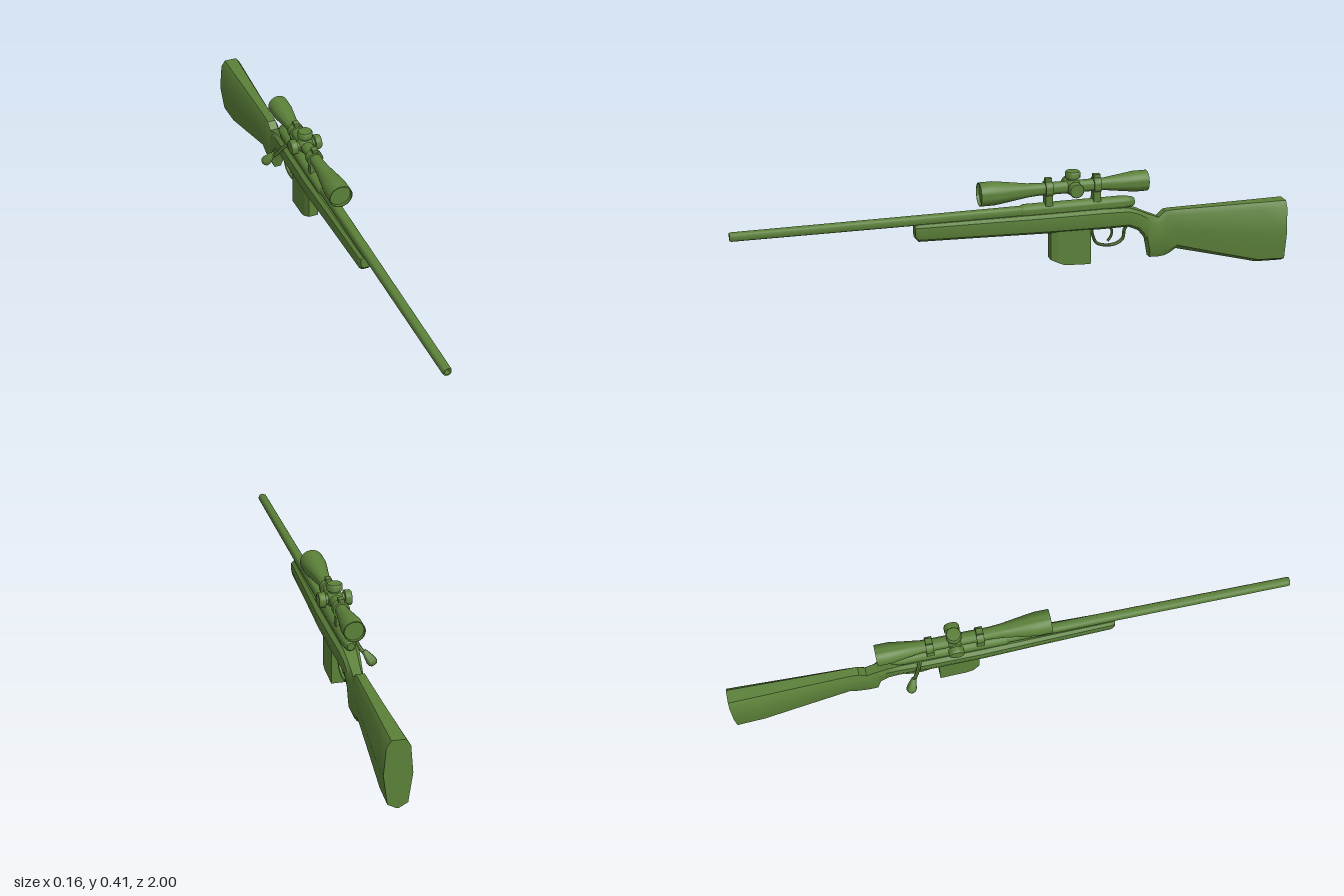
import * as THREE from 'three';
import { toCreasedNormals } from 'three/addons/utils/BufferGeometryUtils.js';

const AXIS_X = 0.02, BORE_Y = 0.278, SCOPE_Y = 0.352;
const material = new THREE.MeshStandardMaterial({ color: 0x5b8039, side: THREE.DoubleSide });

function add(parent, name, geometry, x = 0, y = 0, z = 0, crease = 0.6) {
  const mesh = new THREE.Mesh(toCreasedNormals(geometry, crease), material);
  mesh.name = name;
  mesh.position.set(x, y, z);
  parent.add(mesh);
  return mesh;
}

// Round part turned about the z axis; points are [radius, z], z increasing.
function turned(points, sides = 24) {
  const profile = points.map(([r, z]) => new THREE.Vector2(r, z));
  return new THREE.LatheGeometry(profile, sides).rotateX(Math.PI / 2);
}

// Skin over stock sections [z, top, bottom, halfWidth, butt blend 0..1].
function loftStock(sections) {
  const fore = [[1, 0.6], [0.85, 0.95], [0.5, 1], [0.15, 0.85], [0, 0.45]];
  const butt = [[1, 0.5], [0.9, 0.82], [0.5, 1], [0.07, 0.7], [0, 0.05]];
  const positions = [], index = [], n = 10;
  for (const [z, top, bottom, w, blend] of sections) {
    const side = fore.map(([t, s], i) => [
      w * THREE.MathUtils.lerp(s, butt[i][1], blend),
      bottom + (top - bottom) * THREE.MathUtils.lerp(t, butt[i][0], blend),
    ]);
    const ring = [...side, ...side.slice().reverse().map(([x, y]) => [-x, y])];
    ring.forEach(([x, y]) => positions.push(x, y, z));
  }
  const last = (sections.length - 1) * n;
  for (let i = 0; i < last; i += n) {
    for (let j = 0; j < n; j++) {
      const k = (j + 1) % n;
      index.push(i + j, i + k, i + n + k, i + j, i + n + k, i + n + j);
    }
  }
  for (let j = 1; j < n - 1; j++) {
    index.push(0, j + 1, j, last, last + j, last + j + 1);
  }
  const geometry = new THREE.BufferGeometry();
  geometry.setAttribute('position', new THREE.Float32BufferAttribute(positions, 3));
  geometry.setIndex(index);
  return geometry;
}

function tube(points, radius, segments = 24) {
  const curve = new THREE.CatmullRomCurve3(points.map((p) => new THREE.Vector3(...p)));
  return new THREE.TubeGeometry(curve, segments, radius, 8);
}

export function createModel() {
  const model = new THREE.Group();
  model.name = 'scopedRifle';
  const rifle = new THREE.Group();
  rifle.name = 'rifle';
  rifle.position.x = AXIS_X;
  model.add(rifle);

  // Stock with fore-end, pistol grip and butt
  add(rifle, 'stock', loftStock([
    [0.37, 0.262, 0.218, 0.022, 0],
    [0.358, 0.266, 0.204, 0.027, 0],
    [0.1, 0.266, 0.198, 0.033, 0],
    [-0.1, 0.266, 0.193, 0.039, 0],
    [-0.3, 0.266, 0.19, 0.039, 0],
    [-0.4, 0.262, 0.19, 0.036, 0],
    [-0.44, 0.247, 0.172, 0.031, 0],
    [-0.47, 0.232, 0.135, 0.028, 0],
    [-0.483, 0.227, 0.066, 0.027, 0],
    [-0.515, 0.213, 0.064, 0.026, 0],
    [-0.54, 0.235, 0.066, 0.026, 0.1],
    [-0.56, 0.237, 0.072, 0.026, 0.3],
    [-0.585, 0.237, 0.088, 0.027, 0.5],
    [-0.75, 0.237, 0.044, 0.035, 0.9],
    [-0.9, 0.237, 0.004, 0.043, 1],
    [-1, 0.237, 0.001, 0.047, 1],
  ]), 0, 0, 0, 0.55);

  // Hollow barrel
  add(rifle, 'barrel', turned([
    [0.019, -0.03], [0.018, 0.3], [0.016, 0.994], [0.014, 1],
    [0.009, 1], [0.008, 0.99], [0.008, 0.93], [0, 0.93],
  ]), 0, BORE_Y);

  // Receiver and bolt shroud
  add(rifle, 'receiver', turned([
    [0, -0.425], [0.013, -0.425], [0.019, -0.415], [0.021, -0.4],
    [0.024, -0.38], [0.024, -0.018], [0.019, -0.008], [0.0, -0.008],
  ]), 0, BORE_Y);

  // Bolt handle on the right side
  const bolt = new THREE.Group();
  bolt.name = 'boltHandle';
  rifle.add(bolt);
  add(bolt, 'boltArm', tube([
    [-0.01, 0.275, -0.322], [-0.034, 0.26, -0.33], [-0.052, 0.23, -0.344], [-0.068, 0.21, -0.358],
  ], 0.007));
  const knob = add(bolt, 'boltKnob', new THREE.LatheGeometry([
    [0, -0.029], [0.011, -0.028], [0.017, -0.021], [0.018, -0.01],
    [0.013, 0.012], [0.008, 0.03], [0, 0.03],
  ].map(([r, y]) => new THREE.Vector2(r, y)), 16), -0.078, 0.201, -0.365, 0.9);
  knob.quaternion.setFromUnitVectors(
    new THREE.Vector3(0, 1, 0), new THREE.Vector3(0.024, 0.036, 0.015).normalize());

  // Magazine: tapered front, bottom rising toward the front
  const plan = new THREE.Shape([
    [-0.026, -0.26], [0.026, -0.26], [0.026, -0.165], [0.026, -0.14],
    [0.017, -0.115], [-0.017, -0.115], [-0.026, -0.14], [-0.026, -0.165],
  ].map(([x, z]) => new THREE.Vector2(x, z)));
  const magazine = new THREE.ExtrudeGeometry(plan, { depth: 0.13, bevelEnabled: false });
  magazine.rotateX(Math.PI / 2).translate(0, 0.205, 0);
  const pos = magazine.attributes.position;
  for (let i = 0; i < pos.count; i++) {
    if (pos.getY(i) > 0.1) continue;
    const z = pos.getZ(i);
    pos.setY(i, z > -0.165 ? THREE.MathUtils.mapLinear(z, -0.165, -0.115, 0.071, 0.092)
      : THREE.MathUtils.mapLinear(z, -0.26, -0.165, 0.066, 0.071));
  }
  add(rifle, 'magazine', magazine, 0, 0, 0, 0.3);

  // Trigger guard and trigger
  const guard = tube([
    [0, 0.198, -0.268], [0, 0.165, -0.274], [0, 0.135, -0.288], [0, 0.123, -0.32],
    [0, 0.125, -0.36], [0, 0.142, -0.386], [0, 0.175, -0.392], [0, 0.198, -0.405],
  ], 0.0055, 36).scale(1.6, 1, 1);
  add(rifle, 'triggerGuard', guard);
  add(rifle, 'trigger', tube([
    [0, 0.196, -0.335], [0, 0.175, -0.345], [0, 0.155, -0.342], [0, 0.138, -0.33],
  ], 0.005, 12));

  // Telescopic sight: body with recessed lenses at both ends
  const scope = new THREE.Group();
  scope.name = 'scope';
  scope.position.y = SCOPE_Y;
  rifle.add(scope);
  add(scope, 'scopeBody', turned([
    [0, -0.46], [0.033, -0.46], [0.034, -0.47], [0.037, -0.47], [0.037, -0.42],
    [0.034, -0.4], [0.022, -0.31], [0.022, -0.07], [0.025, -0.03],
    [0.038, 0.06], [0.042, 0.09], [0.042, 0.14], [0.039, 0.14], [0.038, 0.13], [0, 0.13],
  ], 32), 0, 0, 0, 0.5);

  // Turret block and adjusting knobs
  const turretZ = -0.197;
  add(scope, 'turretHousing', new THREE.SphereGeometry(0.031, 20, 14), 0, 0, turretZ);
  for (const [name, turn] of [['topKnob', 0], ['leftKnob', -Math.PI / 2], ['rightKnob', Math.PI / 2]]) {
    const geometry = new THREE.LatheGeometry([
      [0.018, 0.015], [0.018, 0.032], [0.027, 0.034], [0.027, 0.052], [0.024, 0.057], [0, 0.058],
    ].map(([r, y]) => new THREE.Vector2(r, y)), 20);
    add(scope, name, geometry, 0, 0, turretZ).rotation.z = turn;
  }

  // Scope mounts: foot, ring and top clamp
  for (const z of [-0.108, -0.284]) {
    const mount = new THREE.Group();
    mount.name = 'scopeMount';
    mount.position.z = z;
    rifle.add(mount);
    add(mount, 'mountFoot', new THREE.BoxGeometry(0.038, 0.048, 0.026), 0, 0.312);
    add(mount, 'mountRing', turned([
      [0.021, -0.013], [0.029, -0.013], [0.029, 0.013], [0.021, 0.013],
    ]), 0, SCOPE_Y);
    add(mount, 'mountClamp', new THREE.BoxGeometry(0.02, 0.018, 0.024), 0, 0.382);
  }
  return model;
}
